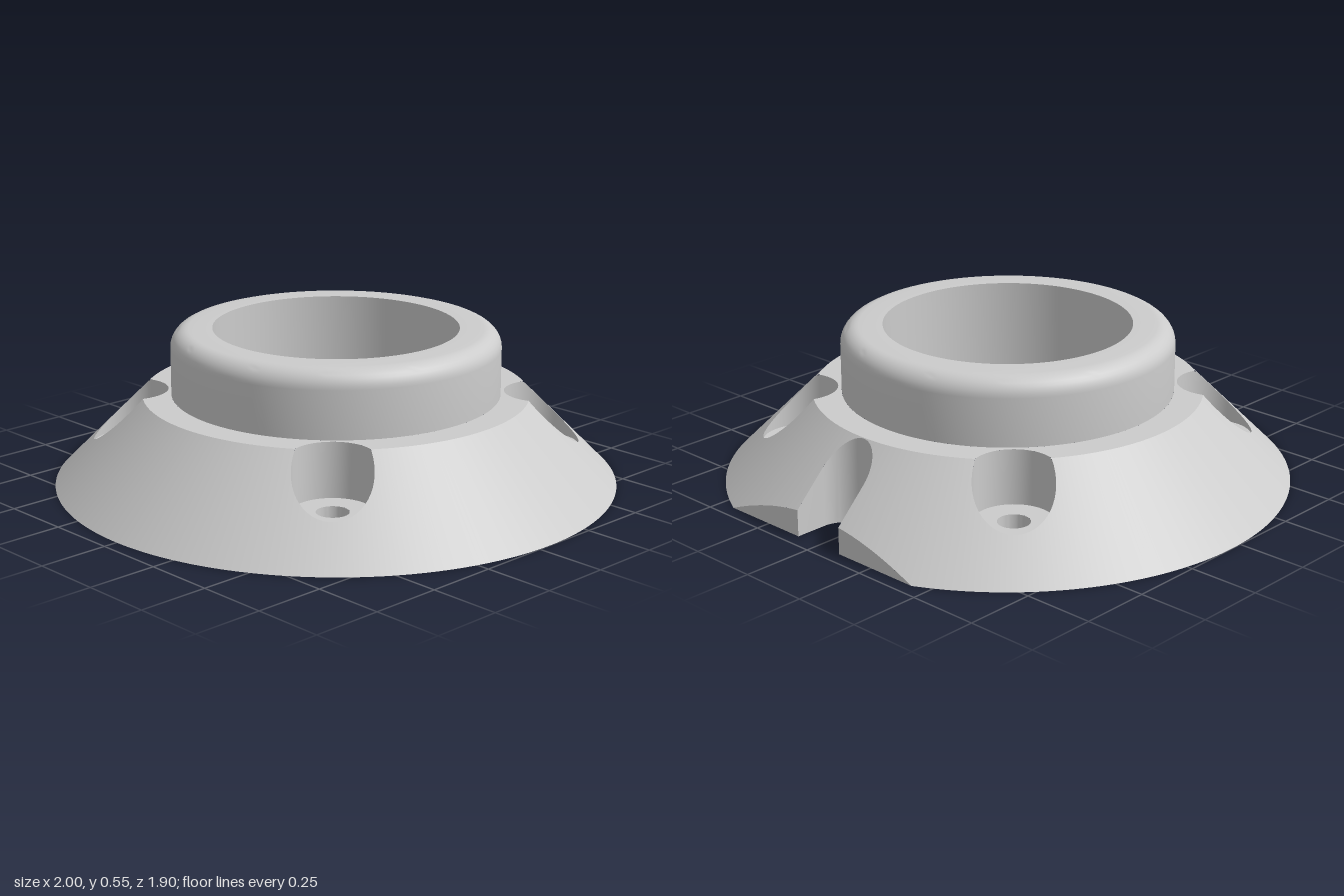
import * as THREE from 'three';
import { toCreasedNormals } from 'three/addons/utils/BufferGeometryUtils.js';

const BORE = 0.435, COLLAR = 0.583, RIM = 0.685, TOP = 0.315, HEIGHT = 0.55;
const FLAT = 0.9;                               // distance of the flat back edge
const SLOT_R = 0.1, SLOT_Z = 0.787;             // round-ended slot in the back edge
const POCKET_D = 0.731, POCKET_R = 0.135, POCKET_FLOOR = 0.12, HOLE_R = 0.055;
const CHORD = Math.acos(FLAT);
const pocketAngles = [-3, -1, 1, 3].map(k => k * Math.PI / 4);

// Plan angles start at the back (-z) and turn towards +x
const polar = (r, a, y = 0) => new THREE.Vector3(r * Math.sin(a), y, -r * Math.cos(a));
const flangeHeight = r => Math.min(TOP, Math.max(0, 1 - r));

function circle(centre, r, n = 64) {
  return Array.from({ length: n + 1 }, (_, i) => polar(r, i / n * Math.PI * 2).add(centre));
}

function quadGeometry(quads) {
  const pos = [];
  for (const [a, b, c, d] of quads)
    for (const [p, q, r] of [[a, b, c], [a, c, d]]) {
      const area = q.clone().sub(p).cross(r.clone().sub(p)).length();
      if (area > 1e-9) pos.push(...p.toArray(), ...q.toArray(), ...r.toArray());
    }
  const g = new THREE.BufferGeometry();
  g.setAttribute('position', new THREE.Float32BufferAttribute(pos, 3));
  g.computeVertexNormals();
  return toCreasedNormals(g, 0.5);
}

// Upright wall along a plan path, from one height up to a height rule
function wallGeometry(path, low, high) {
  const at = (p, y) => new THREE.Vector3(p.x, y, p.z);
  const top = p => at(p, high(Math.hypot(p.x, p.z)));
  return quadGeometry(path.slice(1).map((q, i) =>
    [at(path[i], low), at(q, low), top(q), top(path[i])]));
}

// Near and far crossing of a radial ray with a circle of radius r at distance d
function crossing(phi, d, r) {
  const h = Math.sqrt(Math.max(0, r * r - (d * Math.sin(phi)) ** 2));
  return [d * Math.cos(phi) - h, d * Math.cos(phi) + h];
}

// Solid stretches of the flange along one radial ray
function solidSpans(a) {
  const phi = Math.abs(a);
  const outer = phi < CHORD ? FLAT / Math.cos(phi) : 1;
  for (const p of pocketAngles)
    if (Math.abs(a - p) < Math.asin(POCKET_R / POCKET_D)) {
      const [near, far] = crossing(a - p, POCKET_D, POCKET_R);
      return [[COLLAR, near], [far, outer]];
    }
  if (phi < Math.asin(SLOT_R / SLOT_Z)) {
    const [near, far] = crossing(phi, SLOT_Z, SLOT_R);
    const exit = phi < Math.atan(SLOT_R / SLOT_Z) ? SLOT_R / Math.sin(phi) : far;
    return [[COLLAR, near], [Math.min(exit, outer), outer]];
  }
  return [[COLLAR, outer]];
}

// Flat ledge and conical skirt as radial strips around the openings
function flangeTopGeometry() {
  const half = Math.asin(POCKET_R / POCKET_D);
  const back = [Math.atan(SLOT_R / FLAT), Math.atan(SLOT_R / SLOT_Z), Math.asin(SLOT_R / SLOT_Z), CHORD];
  const breaks = [-Math.PI, 0, Math.PI, ...back, ...back.map(v => -v),
    ...pocketAngles.flatMap(p => [p - half, p + half])].sort((a, b) => a - b);
  const quads = [];
  const add = (a, b, s, t) => quads.push([[s[0], a], [t[0], b], [t[1], b], [s[1], a]]
    .map(([r, ang]) => polar(r, ang, flangeHeight(r))));
  for (let k = 1; k < breaks.length; k++) {
    const a0 = breaks[k - 1], span = breaks[k] - a0;
    const n = Math.max(4, Math.ceil(span / 0.014));
    const angle = i => a0 + span * (0.5 - 0.5 * Math.cos(Math.PI * i / n));
    for (let i = 0; i < n; i++) {
      const a = angle(i), b = angle(i + 1);
      const S = solidSpans(a + 1e-7), T = solidSpans(b - 1e-7);
      S.forEach((s, j) => {
        const t = T[j];
        add(a, b, s.map(r => Math.min(r, RIM)), t.map(r => Math.min(r, RIM)));
        add(a, b, s.map(r => Math.max(r, RIM)), t.map(r => Math.max(r, RIM)));
      });
    }
  }
  return quadGeometry(quads);
}

// Plan path of the flat back edge with its slot, from +x to -x
function backEdgePath() {
  const end = Math.sin(CHORD), path = [];
  const P = (x, z) => path.push(new THREE.Vector3(x, 0, z));
  for (let i = 0; i <= 16; i++) P(end + (SLOT_R - end) * i / 16, -FLAT);
  for (let i = 0; i <= 32; i++) {
    const t = Math.PI * i / 32;
    P(SLOT_R * Math.cos(t), -SLOT_Z + SLOT_R * Math.sin(t));
  }
  for (let i = 0; i <= 16; i++) P(-SLOT_R + (SLOT_R - end) * i / 16, -FLAT);
  return path;
}

export function createModel() {
  const model = new THREE.Group();
  model.name = 'flangedCollar';
  const body = new THREE.Group();
  body.name = 'body';
  body.position.z = -0.05;
  model.add(body);
  const material = new THREE.MeshStandardMaterial({ color: 0xcccccc });
  const add = (name, geometry) => {
    const mesh = new THREE.Mesh(geometry, material);
    mesh.name = name;
    body.add(mesh);
    return mesh;
  };

  // Collar with rounded top edge and through bore
  const f = 0.065, profile = [new THREE.Vector2(COLLAR, TOP)];
  for (let i = 0; i <= 8; i++) {
    const t = Math.PI / 2 * i / 8;
    profile.push(new THREE.Vector2(COLLAR - f + f * Math.cos(t), HEIGHT - f + f * Math.sin(t)));
  }
  profile.push(new THREE.Vector2(BORE, HEIGHT), new THREE.Vector2(BORE, 0));
  add('collarAndBore', toCreasedNormals(new THREE.LatheGeometry(profile, 128), 0.5));

  // Flange skirt and back edge
  const edge = backEdgePath();
  add('flangeSkirt', flangeTopGeometry());
  add('backEdgeAndSlot', wallGeometry(edge, 0, flangeHeight));

  // Screw pockets: counterbore wall, seat and through hole
  const centres = pocketAngles.map(a => polar(POCKET_D, a));
  centres.forEach(c => {
    add('pocketWall', wallGeometry(circle(c, POCKET_R), POCKET_FLOOR, flangeHeight));
    add('screwHole', wallGeometry(circle(c, HOLE_R, 40), 0, () => POCKET_FLOOR));
    const seat = add('pocketSeat', new THREE.RingGeometry(HOLE_R, POCKET_R, 64).rotateX(-Math.PI / 2));
    seat.position.set(c.x, POCKET_FLOOR, c.z);
  });

  // Underside with bore and screw holes
  const outline = edge.slice();
  for (let i = 1; i < 160; i++)
    outline.push(polar(1, -CHORD - (2 * Math.PI - 2 * CHORD) * i / 160));
  const flat = pts => pts.map(p => new THREE.Vector2(p.x, p.z));
  const base = new THREE.Shape(flat(outline));
  base.holes.push(new THREE.Path(flat(circle(new THREE.Vector3(), BORE, 128))));
  centres.forEach(c => base.holes.push(new THREE.Path(flat(circle(c, HOLE_R, 40)))));
  add('underside', new THREE.ShapeGeometry(base).rotateX(Math.PI / 2));

  return model;
}
